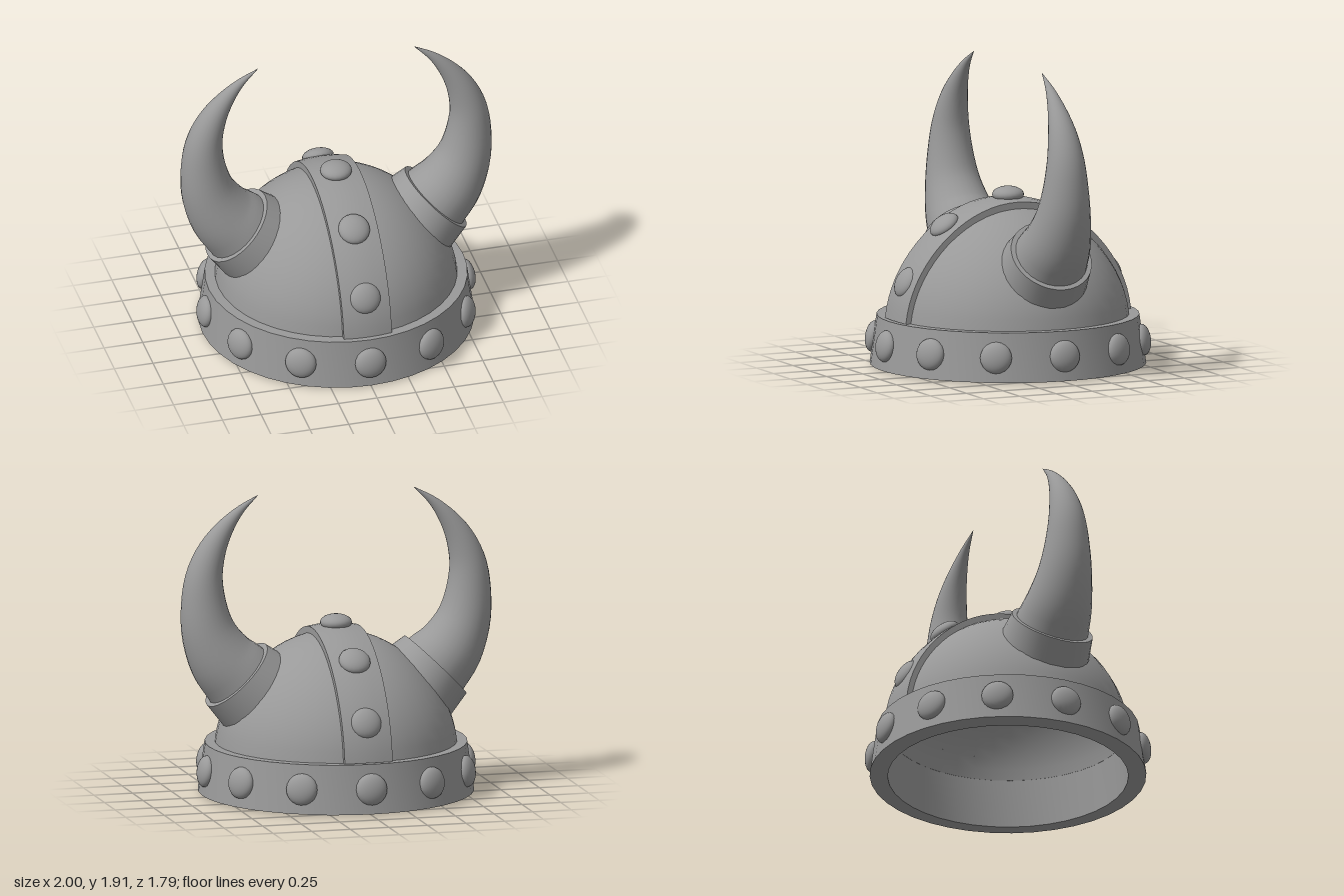
import * as THREE from 'three';
import { toCreasedNormals, mergeVertices } from 'three/addons/utils/BufferGeometryUtils.js';

const material = new THREE.MeshStandardMaterial({ color: 0x999999, side: THREE.DoubleSide });
const DOME_Y = 0.25; // height of the dome's centre
const RIM_ANGLE = 0.09; // where the dome meets the band

function addMesh(parent, name, geometry) {
  const mesh = new THREE.Mesh(geometry, material);
  mesh.name = name;
  parent.add(mesh);
  return mesh;
}

function lathe(points, segments) {
  return new THREE.LatheGeometry(points, segments);
}

const vec = ([x, y]) => new THREE.Vector2(x, y);

// Point on the slightly flattened dome curve, t measured up from the rim
function domePoint(rx, ry, t) {
  const k = 1 - 0.02 * Math.sin(2 * t) ** 2;
  return new THREE.Vector2(rx * k * Math.cos(t), DOME_Y + ry * k * Math.sin(t));
}

function domeArc(rx, ry, from, to, steps) {
  return Array.from({ length: steps + 1 }, (_, i) => domePoint(rx, ry, from + (to - from) * i / steps));
}

// Thin hollow shell, rounded from rim to crown
function domeGeometry() {
  const top = Math.PI / 2;
  const points = [
    ...domeArc(0.762, 0.77, RIM_ANGLE, top, 16),
    ...domeArc(0.752, 0.755, top, RIM_ANGLE, 16),
  ];
  points.push(points[0].clone());
  points.forEach((p) => { p.x = Math.max(0, p.x); });
  return toCreasedNormals(lathe(points, 40), 0.6);
}

// Arched strap running front to back over the crown, bowed across its width
function strapGeometry() {
  const width = 0.31;
  const shape = new THREE.Shape([
    ...domeArc(0.795, 0.81, RIM_ANGLE, Math.PI - RIM_ANGLE, 36),
    ...domeArc(0.76, 0.765, Math.PI - RIM_ANGLE, RIM_ANGLE, 36),
  ]);
  const g = new THREE.ExtrudeGeometry(shape, { depth: width, steps: 4, bevelEnabled: false });
  g.translate(0, -DOME_Y, -width / 2);
  g.rotateY(Math.PI / 2);
  const p = g.attributes.position;
  for (let i = 0; i < p.count; i++) {
    const k = 1 - 0.02 * (p.getX(i) / (width / 2)) ** 2;
    p.setXYZ(i, p.getX(i), p.getY(i) * k + DOME_Y, p.getZ(i) * k);
  }
  return toCreasedNormals(g, 0.6);
}

// Collar whose lower edge is trimmed to the dome
function collarGeometry() {
  const g = lathe([[0.287, -0.12], [0.265, 0], [0.2, 0]].map(vec), 32);
  const p = g.attributes.position;
  for (let i = 0; i < p.count; i++) {
    if (p.getY(i) > -0.05) continue;
    const x = p.getX(i) + 0.088, z = p.getZ(i);
    p.setY(i, -0.824 + Math.sqrt(0.747 ** 2 - x * x - z * z));
  }
  return toCreasedNormals(g, 0.6);
}

// Curved horn: each curve point holds x, y and the radius there
function hornGeometry() {
  const curve = new THREE.CatmullRomCurve3([
    [0.635, 0.76, 0.237], [0.735, 0.87, 0.212], [0.822, 1.04, 0.174], [0.857, 1.22, 0.144],
    [0.855, 1.4, 0.118], [0.808, 1.56, 0.091], [0.73, 1.695, 0.06], [0.625, 1.815, 0.028], [0.505, 1.907, 0.001],
  ].map((v) => new THREE.Vector3(...v)));
  const g = new THREE.CylinderGeometry(1, 1, 1, 28, 28, true);
  g.deleteAttribute('uv');
  g.deleteAttribute('normal');
  const p = g.attributes.position;
  for (let i = 0; i < p.count; i++) {
    const t = THREE.MathUtils.clamp(p.getY(i) + 0.5, 0, 1);
    const c = curve.getPoint(t), d = curve.getTangent(t);
    const len = Math.hypot(d.x, d.y);
    const side = p.getX(i) * c.z;
    p.setXYZ(i, c.x + side * d.y / len, c.y - side * d.x / len, p.getZ(i) * c.z);
  }
  const merged = mergeVertices(g, 1e-5);
  merged.computeVertexNormals();
  return merged;
}

// Flattened rivet head, bulging along +z
function studGeometry() {
  const g = new THREE.SphereGeometry(0.1, 20, 12, 0, Math.PI * 2, 0, Math.PI * 0.7);
  g.rotateX(Math.PI / 2);
  g.scale(1, 1, 0.52);
  return g;
}

export function createModel() {
  const model = new THREE.Group();
  model.name = 'hornedHelmet';

  addMesh(model, 'dome', domeGeometry());
  addMesh(model, 'strap', strapGeometry());

  // Flared band round the rim
  const band = lathe([[0.752, 0], [0.865, 0.01], [0.822, 0.32], [0.75, 0.32], [0.752, 0]].map(vec), 40);
  addMesh(model, 'rimBand', toCreasedNormals(band, 0.6));

  // Twelve studs round the band, tilted with its slope
  const studShape = studGeometry();
  for (let i = 0; i < 12; i++) {
    const a = i * Math.PI / 6;
    const stud = addMesh(model, 'bandStud', studShape);
    stud.position.set(0.844 * Math.sin(a), 0.165, 0.844 * Math.cos(a));
    stud.rotation.set(-0.14, a, 0, 'YXZ');
  }

  // Five studs along the strap: z, y and tilt from vertical in degrees
  for (const [z, y, tilt] of [[0, 1.073, 0], [0.44, 0.907, 36], [-0.44, 0.907, -36], [0.705, 0.56, 63], [-0.705, 0.56, -63]]) {
    const stud = addMesh(model, 'strapStud', studShape);
    stud.position.set(0, y, z);
    stud.rotation.x = THREE.MathUtils.degToRad(tilt - 90);
  }

  // Horn and collar on each side
  const hornShape = hornGeometry(), collarShape = collarGeometry();
  for (const side of ['left', 'right']) {
    const group = new THREE.Group();
    group.name = side + 'HornGroup';
    addMesh(group, side + 'Horn', hornShape);
    const collar = addMesh(group, side + 'HornCollar', collarShape);
    collar.position.set(0.645, 0.77, 0);
    collar.rotation.z = -Math.PI / 4;
    if (side === 'right') group.rotation.y = Math.PI;
    model.add(group);
  }
  return model;
}
